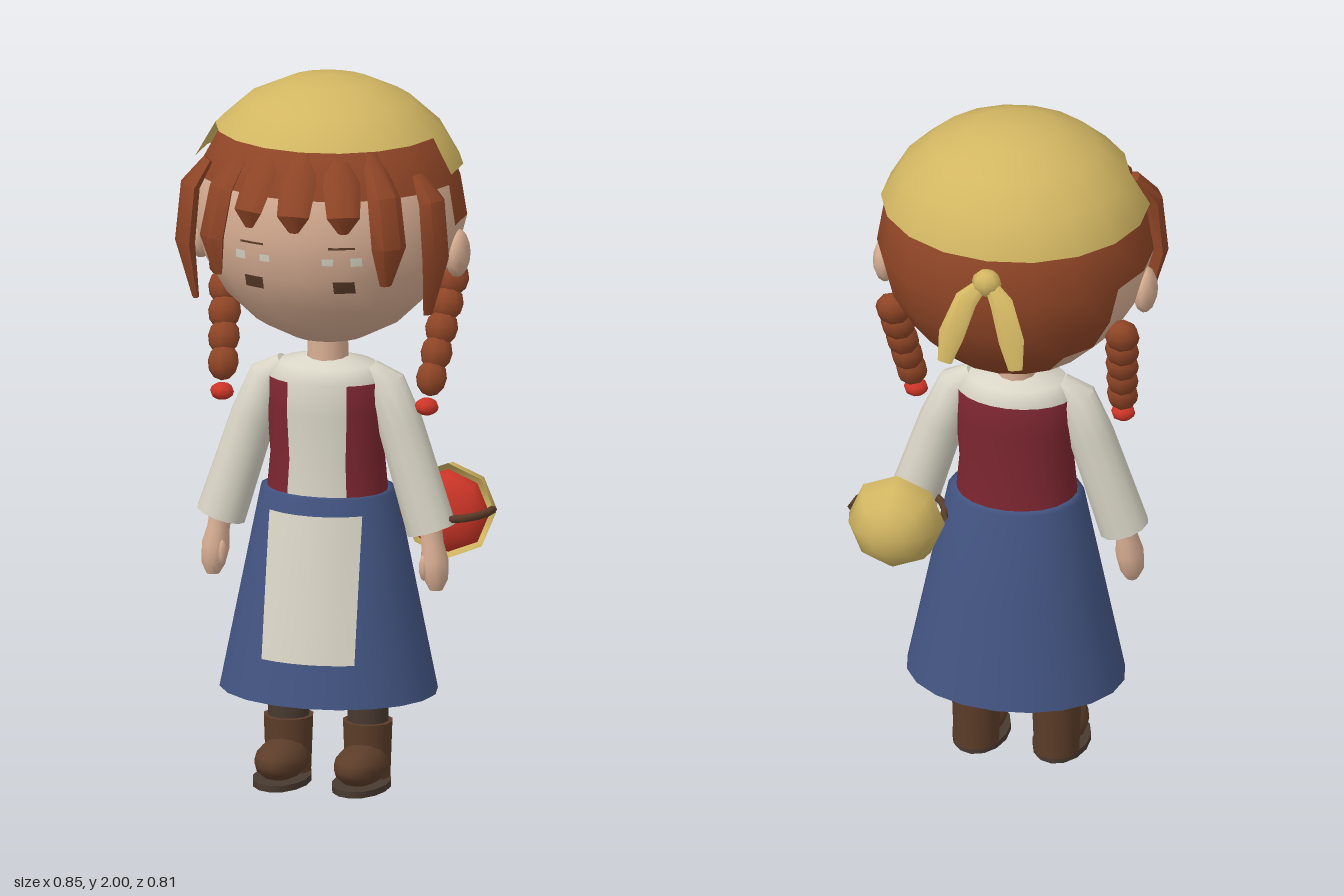
import * as THREE from 'three';
import { toCreasedNormals } from 'three/addons/utils/BufferGeometryUtils.js';

const mat = (name, color, side = THREE.FrontSide) => {
  const m = new THREE.MeshStandardMaterial({ color, side });
  m.name = name;
  return m;
};
const V = (x, y, z) => new THREE.Vector3(x, y, z);

// Tapered tube along a path; radii are [sideways, thickness] for each point, ends closed.
function tube(path, radii, side, sides) {
  const n = path.length, pos = [], idx = [];
  const ring = (i, k) => {
    const t = path[Math.min(i + 1, n - 1)].clone().sub(path[Math.max(i - 1, 0)]).normalize();
    const u = side.clone().addScaledVector(t, -side.dot(t)).normalize();
    const w = t.clone().cross(u);
    for (let j = 0; j < sides; j++) {
      const a = (j / sides) * Math.PI * 2;
      const p = path[i].clone().addScaledVector(u, Math.cos(a) * radii[i][0] * k)
        .addScaledVector(w, Math.sin(a) * radii[i][1] * k);
      pos.push(p.x, p.y, p.z);
    }
  };
  ring(0, 0.001);
  for (let i = 0; i < n; i++) ring(i, 1);
  ring(n - 1, 0.001);
  for (let i = 0; i < n + 1; i++) {
    for (let j = 0; j < sides; j++) {
      const a = i * sides + j, b = i * sides + ((j + 1) % sides), c = a + sides, d = b + sides;
      idx.push(a, b, c, b, d, c);
    }
  }
  const g = new THREE.BufferGeometry();
  g.setAttribute('position', new THREE.Float32BufferAttribute(pos, 3));
  g.setIndex(idx);
  return toCreasedNormals(g, 0.8);
}

// Sorts faces into material groups; rule(centroid) gives a material index, or -1 to drop the face.
function paint(g, rule, count) {
  const src = g.index.array, p = g.attributes.position, bins = Array.from({ length: count }, () => []);
  for (let i = 0; i < src.length; i += 3) {
    const c = V(0, 0, 0), tri = [src[i], src[i + 1], src[i + 2]];
    tri.forEach((k) => c.add(V(p.getX(k), p.getY(k), p.getZ(k))));
    const m = rule(c.divideScalar(3));
    if (m >= 0) bins[m].push(...tri);
  }
  g.setIndex(bins.flat());
  g.clearGroups();
  let start = 0;
  bins.forEach((b, m) => { g.addGroup(start, b.length, m); start += b.length; });
  return g;
}

const deg = (r) => (r * 180) / Math.PI;
const around = (c) => deg(Math.atan2(Math.abs(c.x), c.z)); // angle from the front
const fromTop = (c) => deg(Math.acos(c.y / c.length()));
const ball = (w = 18, h = 10) => new THREE.SphereGeometry(1, w, h, Math.PI / 2);

export function createModel() {
  const straw = mat('straw', 0xd2b662, THREE.DoubleSide);
  const hair = mat('auburn hair', 0x8f4526);
  const skin = mat('skin', 0xd8ae93);
  const cream = mat('cream cloth', 0xd9d5c6, THREE.DoubleSide);
  const bodice = mat('wine bodice', 0x7d2630);
  const blue = mat('blue skirt', 0x435583, THREE.DoubleSide);
  const leather = mat('brown leather', 0x5c3d29, THREE.DoubleSide);
  const stocking = mat('dark stocking', 0x483a30);
  const red = mat('bright red', 0xcc3527);

  const root = new THREE.Group();
  const body = new THREE.Group();
  body.name = 'figure';
  body.position.x = -0.03;
  root.add(body);
  const add = (name, g, m, x = 0, y = 0, z = 0, sx = 1, sy = 1, sz = 1) => {
    const mesh = new THREE.Mesh(g, m);
    mesh.name = name;
    mesh.position.set(x, y, z);
    mesh.scale.set(sx, sy, sz);
    body.add(mesh);
    return mesh;
  };

  // Head: one ball, with hair faces at the crown, sides and back
  const head = paint(ball(), (c) => {
    const t = fromTop(c), a = around(c);
    return t < 72 || (t < 90 && a > 80) || (t < 126 && a > 120) || (t < 144 && a > 140) ? 1 : 0;
  }, 2);
  const hp = head.attributes.position;
  for (let i = 0; i < hp.count; i++) { // narrower jaw
    hp.setX(i, hp.getX(i) * (1 + 0.1 * Math.min(0, hp.getY(i))));
  }
  add('head', head, [skin, hair], 0, 1.615, 0.03, 0.382, 0.365, 0.348);

  // Kerchief: shorter over the forehead
  const scarf = paint(ball(), (c) => {
    const t = fromTop(c);
    return t < 54 || (t < 72 && around(c) > 80) ? 0 : -1;
  }, 1);
  add('kerchief', scarf, [straw], 0, 1.65, 0.03, 0.39, 0.35, 0.362);
  add('kerchiefKnot', ball(8, 6), straw, 0, 1.69, -0.315, 0.042, 0.04, 0.035);

  // Fringe locks: [angle, path of (radius, height), widths]
  const fringe = [[0.24, 1.85], [0.315, 1.77], [0.365, 1.69], [0.36, 1.645]];
  const temple = [[0.27, 1.84], [0.355, 1.73], [0.385, 1.6], [0.365, 1.49]];
  const sideLock = [[0.34, 1.78], [0.39, 1.71], [0.405, 1.55], [0.375, 1.39]];
  const short = [0.03, 0.052, 0.046, 0.014], long = [0.025, 0.05, 0.052, 0.018];
  const lock = (angle, profile, widths) => {
    const a = (angle * Math.PI) / 180;
    const path = profile.map(([r, y]) => V(r * Math.sin(a), y, 0.03 + r * Math.cos(a)));
    add('hairLock', tube(path, widths.map((w) => [w, w * 0.5]), V(Math.cos(a), 0, -Math.sin(a)), 6), hair);
  };
  lock(0, fringe, short);

  // Face plates that follow the head surface
  const plate = (name, x, y, w, h, m) => {
    const g = new THREE.PlaneGeometry(w, h, 4, 3), p = g.attributes.position;
    for (let i = 0; i < p.count; i++) {
      const px = p.getX(i) + x, py = p.getY(i) + y;
      const dy = (py - 1.615) / 0.365, rx = 0.382 * (1 + 0.1 * Math.min(0, dy));
      p.setXYZ(i, px, py, 0.032 + 0.348 * Math.sqrt(1 - dy * dy - (px / rx) ** 2));
    }
    g.computeVertexNormals();
    add(name, g, m);
  };

  // Torso: blouse panel at the front, bodice around the sides and back
  const torso = new THREE.LatheGeometry([[0.172, 0.8], [0.16, 0.93], [0.17, 1.06], [0.168, 1.15],
    [0.135, 1.19], [0.05, 1.21]].map(([r, y]) => new THREE.Vector2(r, y)), 24);
  paint(torso, (c) => (c.y < 1.15 && around(c) > 30 ? 1 : 0), 2);
  add('torso', torso, [cream, bodice], 0, 0, 0.047, 1, 1, 0.74);
  add('neck', new THREE.CylinderGeometry(0.055, 0.06, 0.14, 12), skin, 0, 1.24, 0.045);

  // Skirt, open below, and apron
  const skirtR = (y) => 0.305 - (0.115 * (y - 0.26)) / 0.57;
  const skirt = new THREE.LatheGeometry([[0.305, 0.26], [skirtR(0.55), 0.55], [0.19, 0.83], [0.165, 0.835]]
    .map(([r, y]) => new THREE.Vector2(r, y)), 20);
  add('skirt', skirt, blue, 0, 0, 0.037, 1, 1, 0.8);
  const apron = new THREE.PlaneGeometry(0.265, 0.405, 6, 4), ap = apron.attributes.position;
  for (let i = 0; i < ap.count; i++) {
    const x = ap.getX(i), y = ap.getY(i) + 0.585;
    ap.setXYZ(i, x, y, 0.047 + 0.8 * Math.sqrt(skirtR(y) ** 2 - x * x));
  }
  apron.computeVertexNormals();
  add('apron', apron, cream);

  // Everything that comes in pairs
  for (const s of [-1, 1]) {
    lock(s * 22, fringe, short);
    lock(s * 41, temple, long);
    lock(s * 62, sideLock, long);
    add('ear', ball(10, 8), skin, s * 0.365, 1.52, 0.03, 0.035, 0.068, 0.052);
    plate('eye', s * 0.128, 1.482, 0.056, 0.036, leather);
    plate('eyeWhite', s * 0.165, 1.56, 0.03, 0.025, cream);
    plate('eyeWhite', s * 0.09, 1.56, 0.03, 0.02, cream);
    plate('eyelash', s * 0.128, 1.6, 0.07, 0.006, leather);
    add('kerchiefTail', tube([V(0, 1.7, -0.31), V(s * 0.05, 1.65, -0.35), V(s * 0.085, 1.55, -0.38),
      V(s * 0.1, 1.47, -0.395)], [[0.014, 0.012], [0.032, 0.012], [0.036, 0.01], [0.02, 0.006]],
    V(1, 0, 0), 6), straw);

    // Braid of beads with a tie
    for (let i = 0; i < 5; i++) {
      const k = i / 4;
      const bead = add('braid', ball(8, 6), hair, s * (0.322 - 0.025 * k), 1.42 - 0.255 * k,
        -0.065 + 0.115 * k, 0.05 - 0.006 * k, 0.052, 0.042);
      bead.rotation.x = -0.4;
    }
    add('braidTie', ball(8, 6), red, s * 0.292, 1.09, 0.08, 0.034, 0.024, 0.034);

    // Arm
    add('sleeve', tube([V(s * 0.12, 1.18, 0.05), V(s * 0.165, 1.135, 0.05), V(s * 0.21, 1.02, 0.05),
      V(s * 0.3, 0.735, 0.06)], [[0.028, 0.035], [0.058, 0.058], [0.064, 0.064], [0.07, 0.068]],
    V(1, 0, 0), 12), cream);
    add('hand', tube([V(s * 0.298, 0.75, 0.065), V(s * 0.306, 0.695, 0.068), V(s * 0.312, 0.65, 0.072),
      V(s * 0.318, 0.6, 0.076), V(s * 0.318, 0.57, 0.078)],
    [[0.032, 0.032], [0.032, 0.034], [0.04, 0.042], [0.034, 0.038], [0.018, 0.022]], V(1, 0, 0), 10), skin);
    add('thumb', ball(6, 5), skin, s * 0.288, 0.635, 0.095, 0.014, 0.038, 0.016);

    // Leg and boot
    const x = s * 0.113;
    add('leg', new THREE.CylinderGeometry(0.06, 0.058, 0.46, 12), stocking, x, 0.4, 0.04);
    add('bootShaft', new THREE.CylinderGeometry(0.07, 0.064, 0.16, 12), leather, x, 0.095, 0.042);
    add('bootFoot', ball(14, 8), leather, x, 0.065, 0.11, 0.072, 0.056, 0.118);
    add('bootSole', new THREE.CylinderGeometry(1, 1, 0.018, 14), stocking, x, 0.009, 0.105, 0.078, 1, 0.125);
  }

  // Basket hung on the left arm, tipped so its opening faces forward
  const dome = (r) => new THREE.SphereGeometry(r, 8, 4, 0, Math.PI * 2, 0, Math.PI / 2);
  add('basket', dome(0.135).rotateX(-Math.PI / 2), straw, 0.31, 0.755, -0.07);
  add('basketFilling', dome(0.118).rotateX(Math.PI / 2), red, 0.31, 0.755, -0.072, 1, 1, 0.5);
  const handle = new THREE.TorusGeometry(0.13, 0.011, 6, 10, Math.PI).rotateX(Math.PI / 2);
  add('basketHandle', handle, leather, 0.31, 0.77, -0.065, 1, 1, 1.1);

  return root;
}
